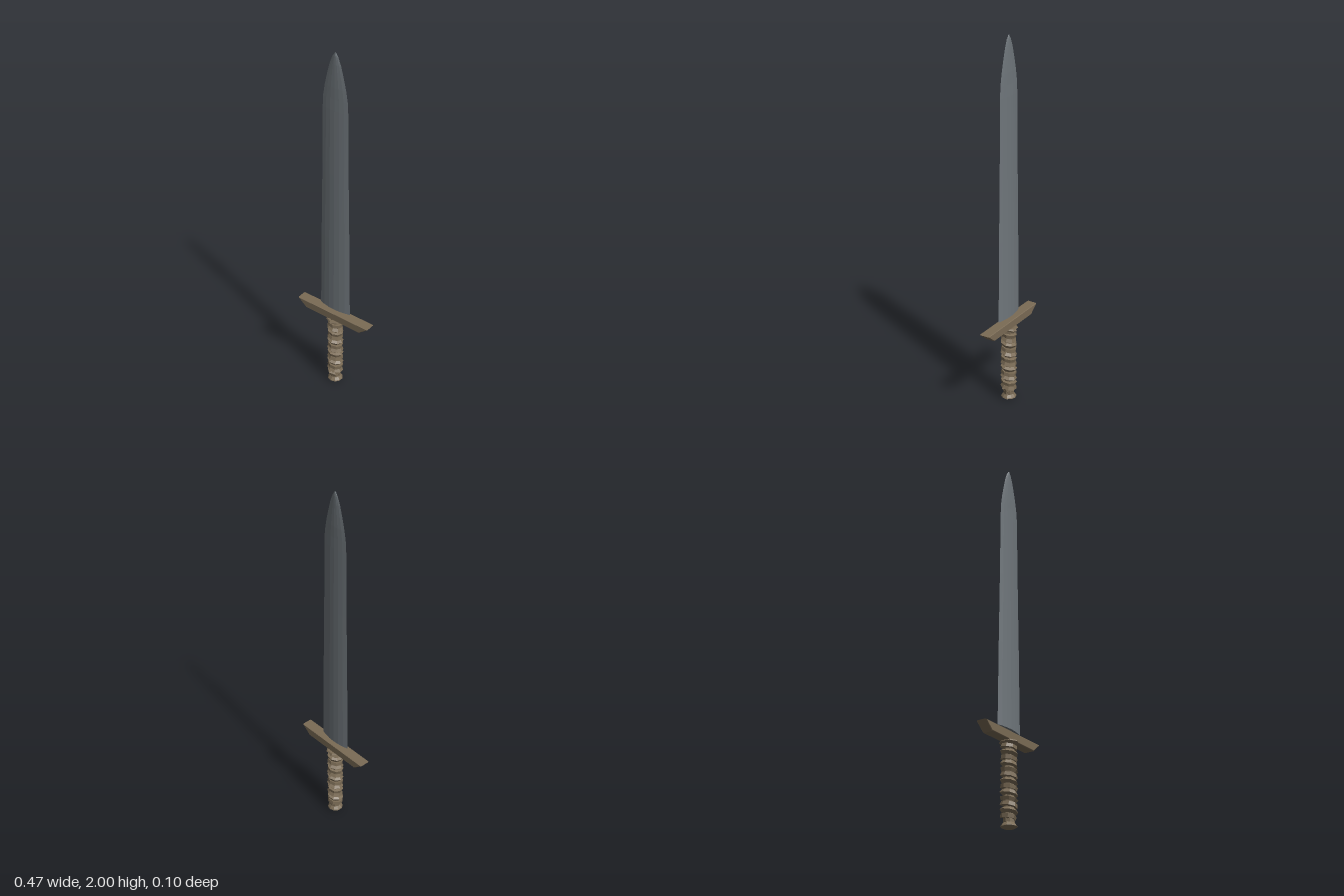
import * as THREE from 'three';

const steel = new THREE.MeshStandardMaterial({ color: 0x6f767b });
steel.name = 'steel';
const bronze = new THREE.MeshStandardMaterial({ color: 0x7a6b55 });
bronze.name = 'bronze';

// Faceted copy of a geometry
function facet(geometry) {
  const g = geometry.index ? geometry.toNonIndexed() : geometry;
  g.computeVertexNormals();
  return g;
}

function addPart(group, name, geometry, material) {
  const mesh = new THREE.Mesh(geometry, material);
  mesh.name = name;
  group.add(mesh);
  return mesh;
}

// Lens-shaped sections [y, half width, half thickness] joined into a closed blade
function bladeGeometry() {
  const sections = [
    [0.5, 0.097, 0.015], [0.95, 0.09, 0.013], [1.34, 0.082, 0.011],
    [1.7, 0.077, 0.009], [1.76, 0.074, 0.008], [1.82, 0.064, 0.008],
    [1.88, 0.05, 0.007], [1.94, 0.034, 0.006], [1.98, 0.018, 0.005], [2, 0.004, 0.003],
  ];
  const lens = [[1, 0], [0.7, 0.5], [0.35, 0.87], [0, 1], [-0.35, 0.87], [-0.7, 0.5],
    [-1, 0], [-0.7, -0.5], [-0.35, -0.87], [0, -1], [0.35, -0.87], [0.7, -0.5]];
  const n = lens.length, last = sections.length - 1;
  const positions = [], index = [];
  for (const [y, w, t] of sections)
    for (const [x, z] of lens) positions.push(x * w, y, z * t);
  for (let i = 0; i < last; i++)
    for (let j = 0; j < n; j++) {
      const a = i * n + j, b = i * n + (j + 1) % n;
      index.push(a, a + n, b, b, a + n, b + n);
    }
  // End caps
  for (let j = 1; j < n - 1; j++) {
    index.push(0, j, j + 1);
    index.push(last * n, last * n + j + 1, last * n + j);
  }
  const g = new THREE.BufferGeometry();
  g.setAttribute('position', new THREE.Float32BufferAttribute(positions, 3));
  g.setIndex(index);
  return facet(g);
}

// Cord path: a helix whose ends sink into the core
class CordPath extends THREE.Curve {
  constructor(y0, y1, turns, radius) {
    super();
    Object.assign(this, { y0, y1, turns, radius });
  }
  getPoint(t, target = new THREE.Vector3()) {
    const a = t * this.turns * Math.PI * 2;
    const sink = Math.min(1, Math.min(t, 1 - t) * this.turns * 4);
    const r = this.radius * (0.4 + 0.6 * sink);
    return target.set(Math.cos(a) * r, THREE.MathUtils.lerp(this.y0, this.y1, t), Math.sin(a) * r);
  }
}

export function createModel() {
  const sword = new THREE.Group();
  sword.name = 'sword';

  addPart(sword, 'blade', bladeGeometry(), steel);

  // Crossguard: bevelled bar with ends slanting inward below
  const bevel = 0.004;
  const outline = new THREE.Shape();
  outline.moveTo(-0.177, 0.439);
  outline.lineTo(0.177, 0.439);
  outline.lineTo(0.228, 0.48);
  outline.lineTo(-0.228, 0.48);
  outline.closePath();
  const guard = new THREE.ExtrudeGeometry(outline, {
    depth: 0.05, bevelEnabled: true, bevelThickness: bevel, bevelSize: bevel, bevelSegments: 1,
  });
  guard.translate(0, 0, -0.025);
  addPart(sword, 'crossguard', guard, bronze);

  // Grip: core wrapped with a faceted cord
  const core = new THREE.CylinderGeometry(0.031, 0.029, 0.41, 8);
  core.translate(0, 0.235, 0);
  addPart(sword, 'gripCore', facet(core), bronze);

  const turns = 13;
  const cord = new THREE.TubeGeometry(new CordPath(0.047, 0.425, turns, 0.032), turns * 8, 0.0135, 4);
  addPart(sword, 'gripCord', facet(cord), bronze);

  // Collar under the crossguard
  const collar = new THREE.LatheGeometry([
    [0.03, 0.418], [0.05, 0.431], [0.046, 0.438], [0, 0.439],
  ].map(([x, y]) => new THREE.Vector2(x, y)), 7);
  addPart(sword, 'collar', facet(collar), bronze);

  // Pommel flaring toward the bottom
  const pommel = new THREE.LatheGeometry([
    [0, 0], [0.024, 0.002], [0.042, 0.011], [0.04, 0.016], [0.022, 0.038], [0.03, 0.05], [0, 0.052],
  ].map(([x, y]) => new THREE.Vector2(x, y)), 10);
  addPart(sword, 'pommel', facet(pommel), bronze);

  return sword;
}
